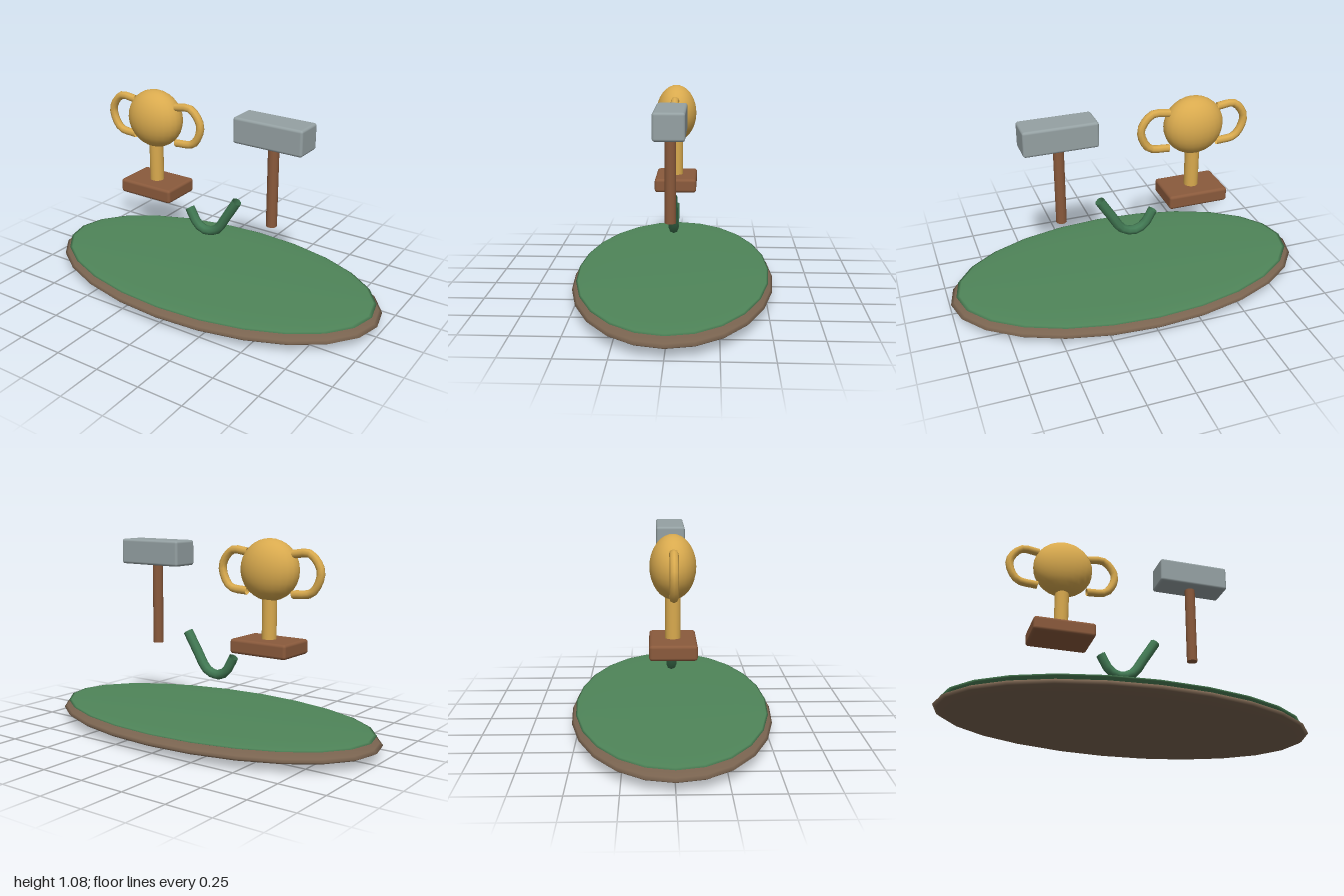
import * as THREE from 'three';
import { RoundedBoxGeometry } from 'three/addons/geometries/RoundedBoxGeometry.js';

const material = (color, side = THREE.FrontSide) => new THREE.MeshStandardMaterial({ color, side });
const gold = material(0xd9aa4e);
const goldTube = material(0xd9aa4e, THREE.DoubleSide);
const wood = material(0x8a5a3c);
const steel = material(0x95a1a3);
const earth = material(0x7a6450);
const grass = material(0x4f8559);
const vine = material(0x427a54, THREE.DoubleSide);

function part(name, geometry, mat, x = 0, y = 0, z = 0) {
  const mesh = new THREE.Mesh(geometry, mat);
  mesh.name = name;
  mesh.position.set(x, y, z);
  return mesh;
}

// Sphere squashed to the given half sizes
const ellipsoid = (rx, ry, rz) => new THREE.SphereGeometry(1, 24, 16).scale(rx, ry, rz);

// Smooth tube through points in the xy plane
function tube(points, radius, segments) {
  const curve = new THREE.CatmullRomCurve3(points.map(([x, y]) => new THREE.Vector3(x, y, 0)));
  return new THREE.TubeGeometry(curve, segments, radius, 8, false);
}

function createTrophy() {
  const trophy = new THREE.Group();
  trophy.name = 'trophy';
  trophy.position.x = -0.375;
  trophy.add(
    part('trophyBase', new RoundedBoxGeometry(0.335, 0.078, 0.236, 2, 0.016), wood, 0, 0.519),
    part('trophyStem', new THREE.CylinderGeometry(0.039, 0.039, 0.24, 16), gold, 0, 0.67),
    part('trophyBowl', ellipsoid(0.165, 0.16, 0.115), gold, 0, 0.915)
  );
  // One handle on each side, mirrored
  for (const s of [1, -1]) {
    const path = [[0.137, 1.0], [0.235, 1.005], [0.296, 0.92], [0.25, 0.815], [0.137, 0.797]];
    trophy.add(part(s > 0 ? 'leftHandle' : 'rightHandle',
      tube(path.map(([x, y]) => [s * x, y]), 0.022, 14), goldTube));
  }
  return trophy;
}

function createHammer() {
  const hammer = new THREE.Group();
  hammer.name = 'hammer';
  hammer.position.x = 0.37;
  hammer.add(
    part('hammerHead', new RoundedBoxGeometry(0.396, 0.139, 0.158, 2, 0.014), steel, 0, 0.973),
    part('hammerHandle', new THREE.CylinderGeometry(0.029, 0.029, 0.46, 12), wood, 0, 0.69)
  );
  return hammer;
}

export function createModel() {
  const model = new THREE.Group();
  model.name = 'island';

  // Flat oval ground with a grassy top
  model.add(
    part('groundDisc', ellipsoid(1, 0.06, 0.545), earth, 0, 0.06),
    part('grassTop', ellipsoid(0.967, 0.02, 0.523), grass, 0, 0.103)
  );

  // Curved stem hovering over the ground
  const stem = [[-0.152, 0.433], [-0.1, 0.348], [-0.045, 0.323], [0.025, 0.345], [0.09, 0.44], [0.155, 0.543]];
  model.add(part('curvedStem', tube(stem, 0.027, 12), vine));

  model.add(createTrophy(), createHammer());
  return model;
}
